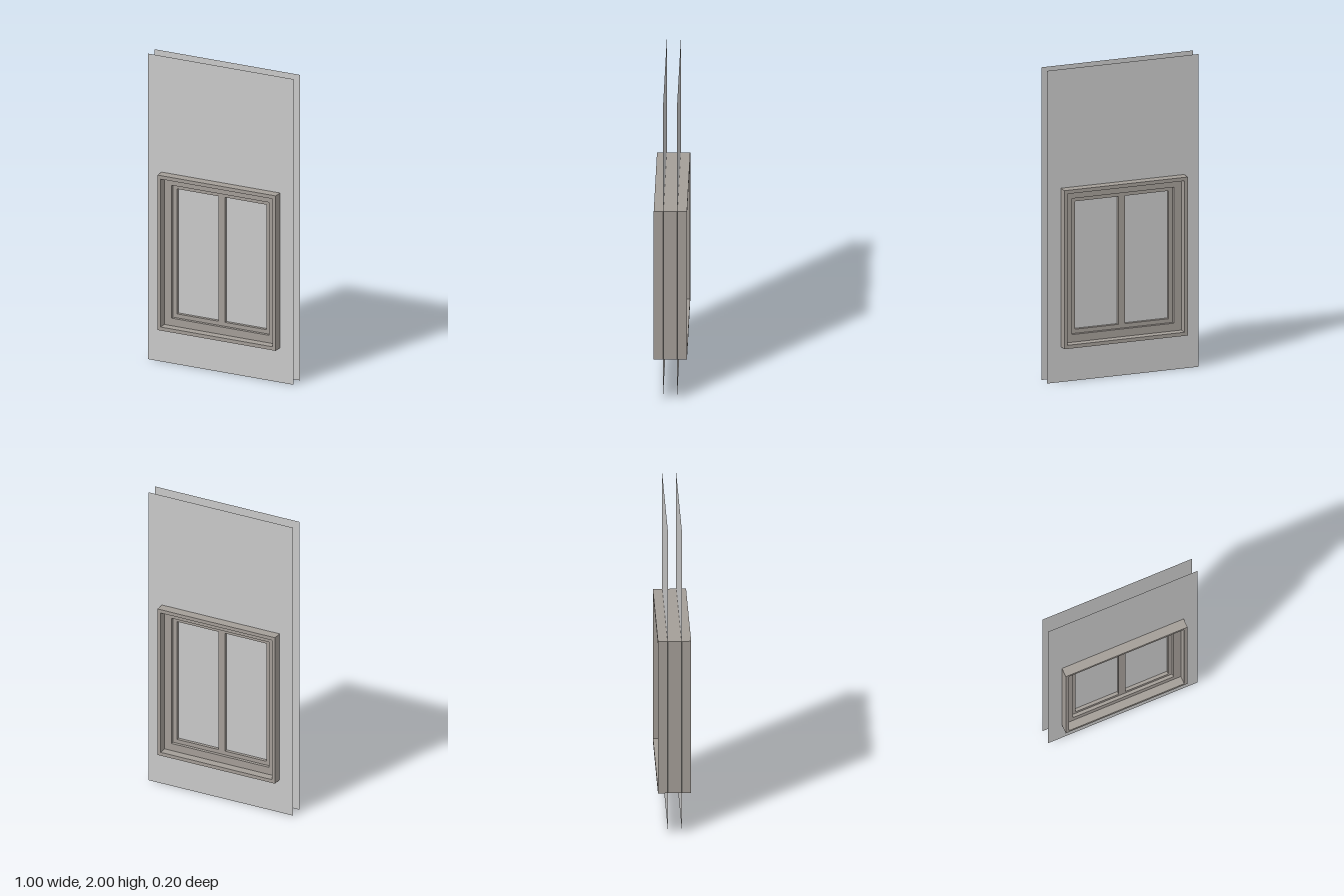
import * as THREE from 'three';

const wallPaint = new THREE.MeshStandardMaterial({ color: 0xc9c9c9, side: THREE.DoubleSide });
wallPaint.name = 'pale grey';
const framePaint = new THREE.MeshStandardMaterial({ color: 0xa49e98 });
framePaint.name = 'warm grey';

const CENTRE_Y = 0.733; // middle height of the window

function trace(path, x0, y0, x1, y1) {
  path.moveTo(x0, y0);
  path.lineTo(x1, y0);
  path.lineTo(x1, y1);
  path.lineTo(x0, y1);
  path.closePath();
  return path;
}

// Rectangle with rectangular holes, each given as [x0, y0, x1, y1]
function panel(outer, ...holes) {
  const shape = trace(new THREE.Shape(), ...outer);
  for (const h of holes) shape.holes.push(trace(new THREE.Path(), ...h));
  return shape;
}

// Rectangle centred on the window
const rect = (hw, hh) => [-hw, CENTRE_Y - hh, hw, CENTRE_Y + hh];

function addFrame(group, name, shape, halfDepth) {
  const geo = new THREE.ExtrudeGeometry(shape, { depth: 2 * halfDepth, bevelEnabled: false });
  geo.translate(0, 0, -halfDepth);
  const mesh = new THREE.Mesh(geo, framePaint);
  mesh.name = name;
  group.add(mesh);
}

export function createModel() {
  const model = new THREE.Group();
  model.name = 'windowInWall';

  // Two thin wall faces with an opening for the window
  const wallShape = panel([-0.5, 0, 0.5, 2], rect(0.395, 0.495));
  for (const [name, z] of [['frontWall', 0.043], ['backWall', -0.043]]) {
    const wall = new THREE.Mesh(new THREE.ShapeGeometry(wallShape), wallPaint);
    wall.name = name;
    wall.position.z = z;
    if (z < 0) wall.rotation.y = Math.PI;
    model.add(wall);
  }

  // Nested frames, stepping inwards
  const outer = rect(0.407, 0.507);
  const casing = rect(0.385, 0.484);
  const sash = rect(0.336, 0.435);
  const [px0, py0, px1, py1] = rect(0.309, 0.409);
  const bar = 0.0225; // half width of the centre bar
  addFrame(model, 'outerCasing', panel(outer, casing), 0.102);
  addFrame(model, 'windowFrame', panel(casing, sash), 0.05);
  addFrame(model, 'sashWithCentreBar',
    panel(sash, [px0, py0, -bar, py1], [bar, py0, px1, py1]), 0.03);

  // Panes on either side of the centre bar
  for (const side of [-1, 1]) {
    const pane = new THREE.Mesh(new THREE.BoxGeometry(px1 - bar, py1 - py0, 0.02), wallPaint);
    pane.name = side < 0 ? 'rightPane' : 'leftPane';
    pane.position.set(side * (px1 + bar) / 2, CENTRE_Y, 0);
    model.add(pane);
  }
  return model;
}
